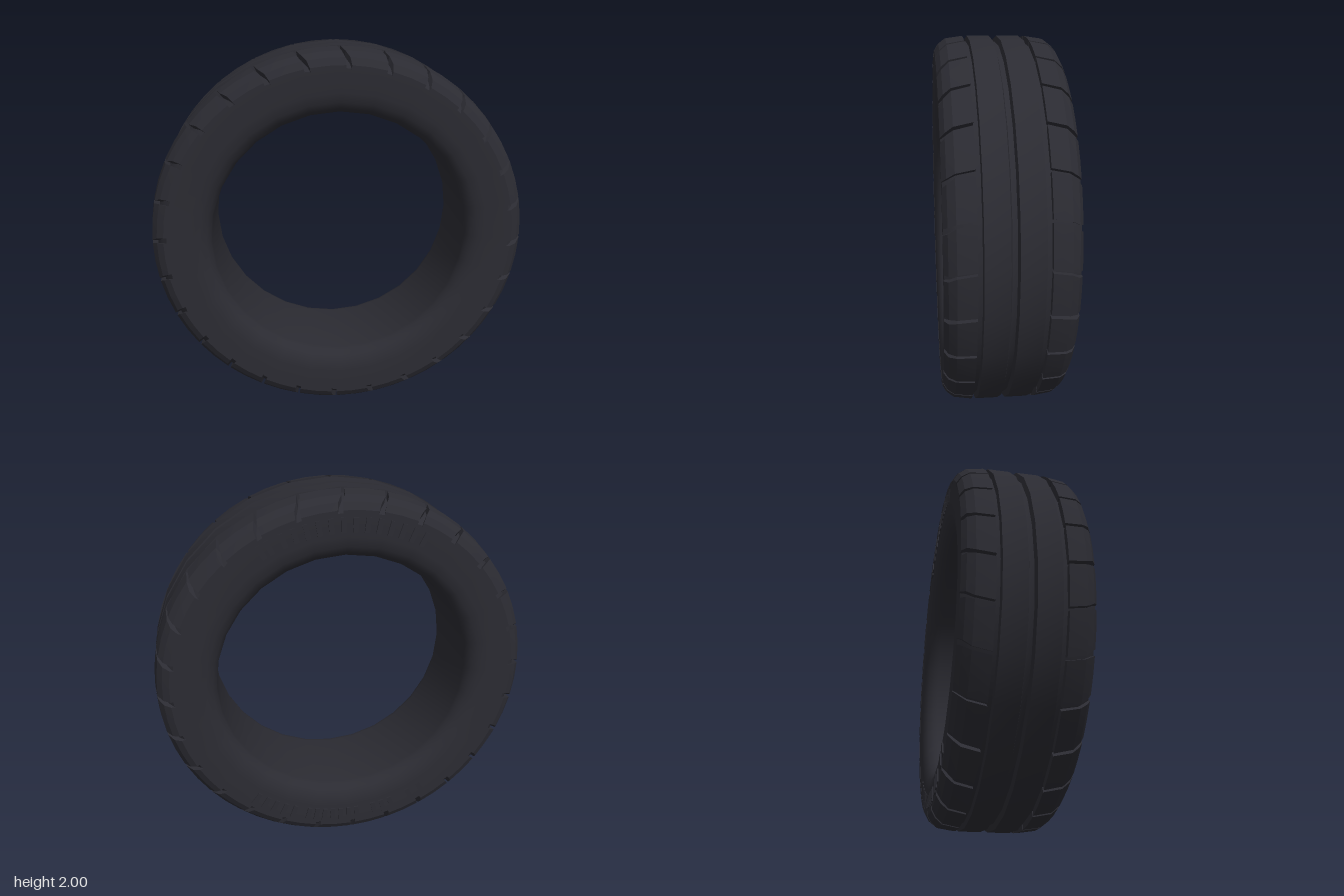
import * as THREE from 'three';
import { toCreasedNormals } from 'three/addons/utils/BufferGeometryUtils.js';

const COUNT = 28; // shoulder blocks per row, and sides of the ring
const STEP = (Math.PI * 2) / COUNT;

// Half of the carcass profile, from the middle groove to the bore: [radius, z]
const HALF = [
  [0.97, 0.012], [1.0, 0.02], [1.0, 0.138], [0.97, 0.142], [0.968, 0.17],
  [0.958, 0.25], [0.935, 0.285], [0.91, 0.31], [0.79, 0.31], [0.74, 0.302],
  [0.705, 0.28], [0.685, 0.25], [0.68, 0.225],
];

// Shoulder block rows, inner to outer: z, top radius, base radius, slant, half-angle share
const BLOCK = [
  [0.165, 0.999, 0.95, 0, 0.465],
  [0.255, 0.986, 0.945, 0.016, 0.46],
  [0.292, 0.958, 0.92, 0.035, 0.44],
  [0.313, 0.922, 0.9, 0.042, 0.43],
];

function carcassGeometry() {
  const back = HALF.map(([r, z]) => new THREE.Vector2(r, -z)).reverse();
  const front = HALF.map(([r, z]) => new THREE.Vector2(r, z));
  const geo = new THREE.LatheGeometry([...back, ...front, back[0].clone()], COUNT);
  geo.rotateX(Math.PI / 2);
  return toCreasedNormals(geo, 0.55);
}

// A subdivided box bent around the tread; side is +1 for front, -1 for back
function blockGeometry(side) {
  const geo = new THREE.BoxGeometry(1, 1, 1, 2, 1, 3);
  const p = geo.attributes.position;
  for (let i = 0; i < p.count; i++) {
    const row = Math.round((side * p.getZ(i) + 0.5) * 3);
    const [z, top, base, slant, share] = BLOCK[row];
    const r = p.getY(i) > 0 ? top : base;
    const a = p.getX(i) * 2 * share * STEP + slant;
    p.setXYZ(i, r * Math.sin(a), r * Math.cos(a), side * z);
  }
  return toCreasedNormals(geo, 0.3);
}

export function createModel() {
  const rubber = new THREE.MeshStandardMaterial({ color: 0x2b2b32 });
  rubber.name = 'dark rubber';

  const tire = new THREE.Group();
  tire.name = 'tire';
  const add = (parent, geo, name) => {
    const mesh = new THREE.Mesh(geo, rubber);
    mesh.name = name;
    parent.add(mesh);
    return mesh;
  };

  add(tire, carcassGeometry(), 'carcass');

  // Two rows of shoulder blocks
  for (const side of [1, -1]) {
    const row = new THREE.Group();
    row.name = side > 0 ? 'frontShoulderBlocks' : 'backShoulderBlocks';
    tire.add(row);
    const geo = blockGeometry(side);
    for (let i = 0; i < COUNT; i++) {
      add(row, geo, 'shoulderBlock').rotation.z = (i + 0.5) * STEP;
    }
  }

  // Raised radial ribs on the back sidewall: [start, end, count], degrees from top or bottom
  const ribs = new THREE.Group();
  ribs.name = 'sidewallRibs';
  tire.add(ribs);
  const ribGeo = new THREE.BoxGeometry(0.025, 0.075, 0.014);
  const addRibs = (list, sign) => {
    for (const [from, to, n] of list) {
      for (let i = 0; i < n; i++) {
        const a = THREE.MathUtils.degToRad(from + ((to - from) * i) / (n - 1));
        const rib = add(ribs, ribGeo, 'sidewallRib');
        rib.position.set(0.85 * Math.sin(a), sign * 0.85 * Math.cos(a), -0.31);
        rib.rotation.z = -sign * a;
      }
    }
  };
  addRibs([[30, 27, 2], [22, -27, 13]], 1);
  addRibs([[37, 21, 5], [15, -4, 7], [-11, -18, 3], [-26, -31, 2]], -1);

  // Ring centre raised so the tread rests on the ground
  tire.position.y = 1;
  const model = new THREE.Group();
  model.name = 'model';
  model.add(tire);
  return model;
}
